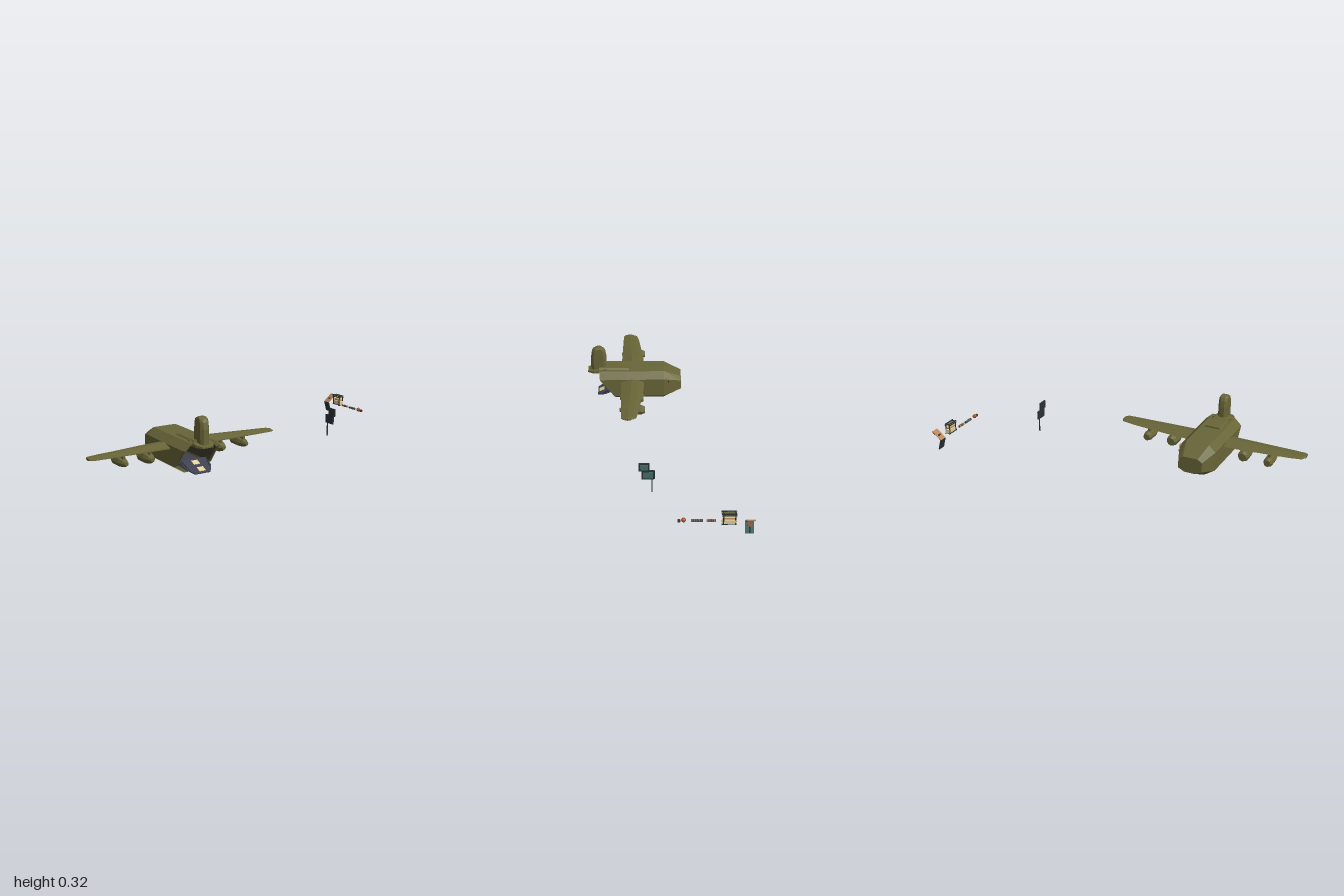
import * as THREE from 'three';

const mat = (name, color) => new THREE.MeshStandardMaterial({ name, color, flatShading: true, side: THREE.DoubleSide });

export function createModel() {
  const olive = mat('olive', 0x686538), slate = mat('slate', 0x3f4150), dark = mat('charcoal', 0x2a3238);
  const teal = mat('teal', 0x456f69), tan = mat('tan', 0xbd8556), brown = mat('dark brown', 0x5a371c);
  const cream = mat('cream', 0xe2d29a), red = mat('rust red', 0xa4563a), steel = mat('steel grey', 0x66707a);
  const darkOlive = mat('dark olive', 0x3f3e2a);
  const model = new THREE.Group();

  const add = (parent, name, geo, material, x = 0, y = 0, z = 0) => {
    const m = new THREE.Mesh(geo, material);
    m.name = name;
    m.position.set(x, y, z);
    parent.add(m);
    return m;
  };
  const box = (parent, name, material, w, h, d, x, y, z) =>
    add(parent, name, new THREE.BoxGeometry(w, h, d), material, x, y, z);

  // Skin over a series of rings, each a list of [x, y, z]; turned outward by its signed volume
  function loft(rings, capStart = true, capEnd = true) {
    const n = rings[0].length, tris = [];
    for (let r = 0; r + 1 < rings.length; r++) {
      for (let i = 0; i < n; i++) {
        const j = (i + 1) % n, a = rings[r], b = rings[r + 1];
        tris.push([a[i], a[j], b[j]], [a[i], b[j], b[i]]);
      }
    }
    const first = rings[0], last = rings[rings.length - 1];
    for (let i = 1; i + 1 < n; i++) {
      if (capStart) tris.push([first[0], first[i + 1], first[i]]);
      if (capEnd) tris.push([last[0], last[i], last[i + 1]]);
    }
    const v = tris.map(t => t.map(p => new THREE.Vector3(...p)));
    const volume = v.reduce((s, [a, b, c]) => s + a.dot(b.clone().cross(c)), 0);
    const pts = v.flatMap(([a, b, c]) => (volume < 0 ? [a, c, b] : [a, b, c]));
    const g = new THREE.BufferGeometry().setFromPoints(pts);
    g.computeVertexNormals();
    return g;
  }

  // Straight bar between two points
  function bar(parent, name, material, a, b, r) {
    const p = new THREE.Vector3(...a), q = new THREE.Vector3(...b);
    const m = add(parent, name, new THREE.CylinderGeometry(r, r, p.distanceTo(q), 6), material);
    m.position.copy(p).add(q).multiplyScalar(0.5);
    m.quaternion.setFromUnitVectors(new THREE.Vector3(0, 1, 0), q.sub(p).normalize());
  }

  // ---- Cargo aircraft, nose toward -z ----
  const plane = new THREE.Group();
  plane.name = 'cargoAircraft';
  plane.position.x = -0.456;
  model.add(plane);

  const section = [[0.05, 0.01], [0.106, 0.046], [0.106, 0.154], [0.067, 0.19],
    [-0.067, 0.19], [-0.106, 0.154], [-0.106, 0.046], [-0.05, 0.01]];
  const rearZ = y => 0.27 + THREE.MathUtils.clamp((y - 0.04) / 0.12, 0, 1) * 0.093;
  const ring = (sx, sy, z) => section.map(([x, y]) => [x * sx, 0.1 + (y - 0.1) * sy, z === null ? rearZ(y) : z]);
  // Hull, closed at the nose and open at the sloping tail
  add(plane, 'fuselage', loft([
    ring(0.64, 0.5, -0.122), ring(0.98, 1, -0.022), ring(1, 1, 0.1),
    ring(1.02, 1, 0.205), ring(1.02, 1, null), ring(0.86, 0.86, null),
  ], true, false), olive);
  add(plane, 'cargoBay', loft([ring(0.86, 0.86, null), ring(0.86, 0.86, 0.0)], false, true), darkOlive);
  box(plane, 'cargoFloor', slate, 0.14, 0.006, 0.26, 0, 0.052, 0.14);

  // Raised spine leading to the tail
  const spineRing = (z, top) => [[-0.055, 0.18, z], [0.055, 0.18, z], [0.04, top, z], [-0.04, top, z]];
  add(plane, 'spine', loft([spineRing(0.185, 0.198), spineRing(0.363, 0.2)]), olive);
  const plateShape = [[-0.052, 0.32], [-0.052, 0.395], [-0.03, 0.43], [0.03, 0.43], [0.052, 0.395], [0.052, 0.32]];
  add(plane, 'tailPlate', loft([
    plateShape.map(([x, z]) => [x, 0.169, z]),
    plateShape.map(([x, z]) => [x, 0.177 + (0.43 - z) * 0.17, z]),
  ]), olive);

  // Fin with chamfered edges and a rounded top
  const finRing = (y, d, w) => [[w * 0.5, -d], [w, -d * 0.65], [w, d * 0.65], [w * 0.5, d],
    [-w * 0.5, d], [-w, d * 0.65], [-w, -d * 0.65], [-w * 0.5, -d]].map(([x, z]) => [x, y, 0.366 + z]);
  add(plane, 'tailFin', loft([
    finRing(0.18, 0.046, 0.026), finRing(0.26, 0.045, 0.026), finRing(0.295, 0.039, 0.025),
    finRing(0.31, 0.031, 0.024), finRing(0.318, 0.017, 0.02),
  ]), olive);

  // Wings and engine pods, mirrored
  const wingRing = (x, z0, z1, t) => [[0, 0], [0.25, 0.8], [0.55, 1], [1, 0.15], [1, -0.15], [0.55, -1], [0.25, -0.8]]
    .map(([f, h]) => [x, 0.137 + h * t, z0 + (z1 - z0) * f]);
  const podProfile = [[0, -1], [0.72, -1], [1, -0.73], [1, 0.2], [0.7, 0.73], [0.35, 1], [0, 1]];
  for (const s of [1, -1]) {
    add(plane, s > 0 ? 'leftWing' : 'rightWing', loft([
      wingRing(0.06 * s, 0.095, 0.235, 0.02), wingRing(0.2 * s, 0.1, 0.232, 0.017),
      wingRing(0.46 * s, 0.128, 0.228, 0.009), wingRing(0.53 * s, 0.142, 0.225, 0.008),
      wingRing(0.544 * s, 0.165, 0.212, 0.006),
    ]), olive);
    for (const [x, r, z, half] of [[0.212, 0.032, 0.17, 0.069], [0.357, 0.027, 0.165, 0.073]]) {
      const pod = new THREE.LatheGeometry(podProfile.map(([a, b]) => new THREE.Vector2(a * r, b * half)), 8);
      pod.rotateX(Math.PI / 2);
      add(plane, 'enginePod', pod, olive, x * s, 0.094, z);
      box(plane, 'pylon', olive, 0.012, 0.025, 0.09, x * s, 0.122, z);
    }
    bar(plane, 'rampStrut', dark, [0.06 * s, 0.04, 0.345], [0.075 * s, 0.078, 0.285], 0.003);
  }

  // Loading ramp and cargo
  const rampShape = [[-0.08, 0], [-0.075, 0.6], [-0.045, 1], [0.045, 1], [0.075, 0.6], [0.08, 0]];
  add(plane, 'ramp', loft([0, 0.006].map(h =>
    rampShape.map(([x, f]) => [x, 0.068 - 0.044 * f + h, 0.27 + 0.105 * f]))), slate);
  for (const [x, f] of [[0.004, 0.78], [0.002, 0.28]]) {
    const pad = box(plane, 'rampMarking', cream, 0.036, 0.004, 0.032, x, 0.0755 - 0.044 * f, 0.27 + 0.105 * f);
    pad.rotation.x = 0.4;
  }
  box(plane, 'redCargo', red, 0.026, 0.036, 0.03, -0.042, 0.095, 0.2);
  box(plane, 'oliveCargo', olive, 0.022, 0.05, 0.03, -0.07, 0.085, 0.2);

  // Small fittings on the side of the cockpit
  box(plane, 'sideLamp', tan, 0.008, 0.009, 0.014, 0.095, 0.162, -0.033);
  box(plane, 'sidePort', dark, 0.008, 0.005, 0.005, 0.096, 0.135, -0.047);

  // ---- Two display panels on a pole ----
  const display = new THREE.Group();
  display.name = 'displayStand';
  display.position.x = 0.588;
  model.add(display);
  box(display, 'pole', dark, 0.005, 0.13, 0.005, 0, 0.065, 0.058);
  for (const [w, h, y, z] of [[0.055, 0.044, 0.151, 0.098], [0.068, 0.05, 0.105, 0.078]]) {
    box(display, 'displayFrame', dark, 0.008, h, w, 0, y, z);
    box(display, 'displayFace', teal, 0.002, h - 0.014, w - 0.016, 0.005, y, z);
  }

  // ---- Small equipment row ----
  const gear = new THREE.Group();
  gear.name = 'equipment';
  model.add(gear);

  // Folded board: rising shelf above a slanted board
  const slab = (name, material, [x0, y0], [x1, y1], off = 0, t = 0.004, d = 0.044, z = -0.407) => {
    const m = box(gear, name, material, Math.hypot(x1 - x0, y1 - y0), t, d, (x0 + x1) / 2 + off, (y0 + y1) / 2, z);
    m.rotation.z = Math.atan2(y1 - y0, x1 - x0);
  };
  slab('shelf', tan, [0.945, 0.072], [0.999, 0.117]);
  slab('shelfUnderside', brown, [0.9795, 0.0985], [0.9995, 0.115], 0.0025, 0.002);
  slab('shelfSlot', dark, [0.986, 0.1035], [0.99, 0.107], 0.004, 0.002, 0.03);
  slab('shelfPatch', red, [0.96, 0.0835], [0.971, 0.0927], 0.0025, 0.002, 0.026);
  slab('shelfTopMark', dark, [0.967, 0.091], [0.974, 0.0968], -0.0025, 0.002, 0.02);
  slab('backBoard', dark, [0.945, 0.072], [0.962, 0.012]);
  slab('boardFace', teal, [0.945, 0.072], [0.962, 0.012], 0.003, 0.002);
  slab('boardFigure', red, [0.9464, 0.067], [0.9521, 0.047], 0.0042, 0.002, 0.022, -0.409);
  slab('boardFigureLeg', dark, [0.9521, 0.047], [0.961, 0.0155], 0.0042, 0.002, 0.006, -0.408);

  // Rack with posts, rails and a padded bench
  for (const x of [0.947, 0.972]) {
    for (const z of [-0.28, -0.337]) box(gear, 'rackPost', dark, 0.004, 0.064, 0.005, x, 0.102, z);
    for (const y of [0.074, 0.122, 0.132]) box(gear, 'rackRail', dark, 0.004, 0.004, 0.074, x, y, -0.308);
  }
  for (const z of [-0.28, -0.337])
    for (const y of [0.074, 0.132]) box(gear, 'rackCrossbar', dark, 0.028, 0.004, 0.004, 0.96, y, z);
  box(gear, 'bench', cream, 0.026, 0.022, 0.068, 0.961, 0.087, -0.308);
  box(gear, 'rackBoard', tan, 0.022, 0.007, 0.054, 0.961, 0.104, -0.308);
  box(gear, 'rackBoard', cream, 0.022, 0.004, 0.054, 0.961, 0.112, -0.308);
  box(gear, 'rackRoof', olive, 0.026, 0.004, 0.066, 0.96, 0.128, -0.308);

  // Two bundles of small canisters
  const bundles = [[-0.13, [olive, steel, olive, steel, olive]], [-0.204, [tan, red, steel, tan]]];
  for (const [start, colours] of bundles) {
    colours.forEach((c, i) => {
      const z = start - i * 0.0115;
      box(gear, 'canister', c, 0.011, 0.011, 0.009, 0.949, 0.08, z);
      box(gear, 'canisterBand', dark, 0.01, 0.01, 0.0025, 0.949, 0.08, z - 0.00575);
    });
  }
  add(gear, 'redBag', new THREE.SphereGeometry(0.012, 8, 6), red, 0.947, 0.083, -0.09);
  box(gear, 'smallBag', brown, 0.01, 0.012, 0.014, 0.948, 0.08, -0.067);

  return model;
}
